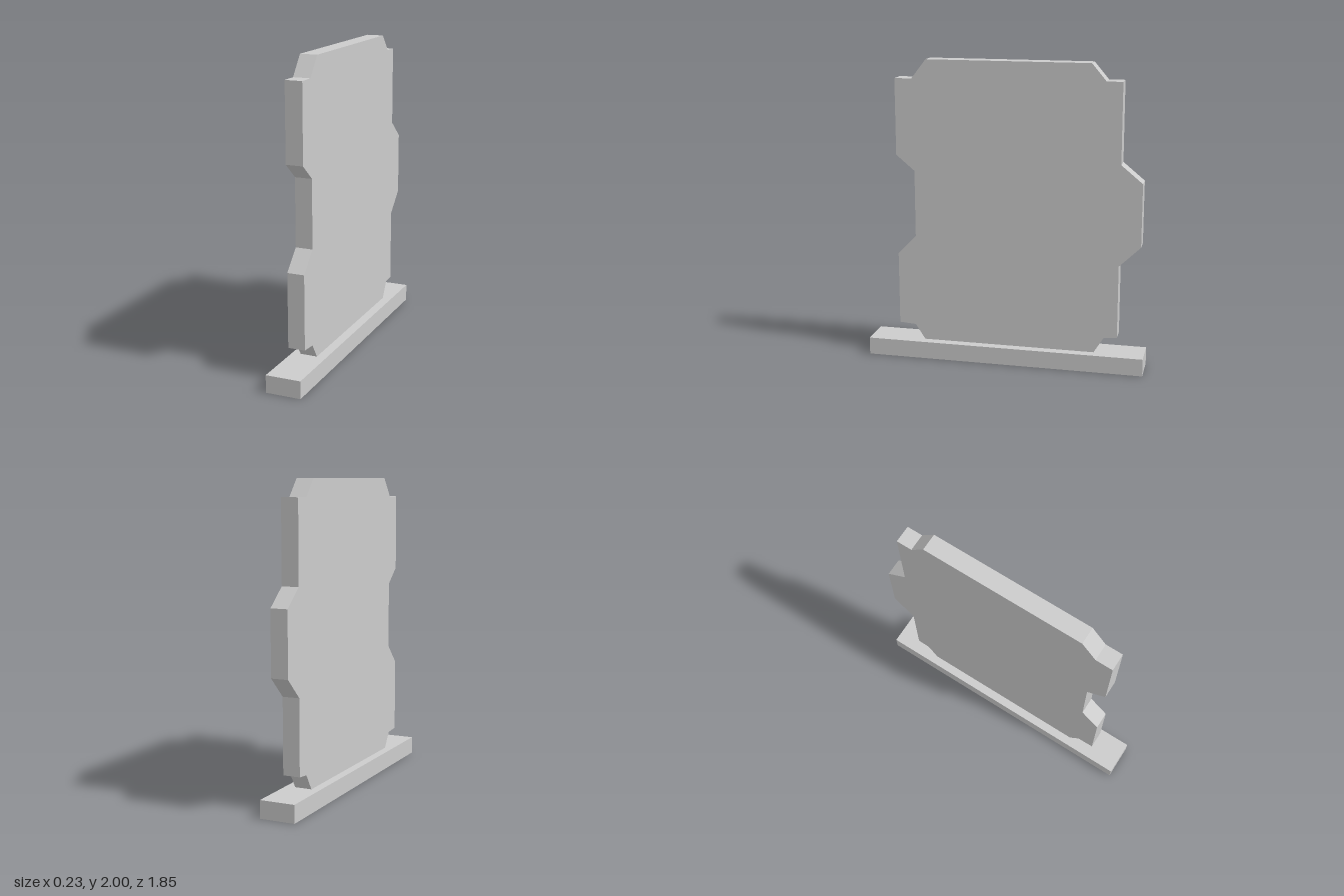
import * as THREE from 'three';

export function createModel() {
  const group = new THREE.Group();
  const material = new THREE.MeshStandardMaterial({ color: 0xcccccc, flatShading: true });

  // Flat foot bar
  const base = new THREE.Mesh(new THREE.BoxGeometry(0.23, 0.115, 1.85), material);
  base.name = 'base';
  base.position.y = 0.0575;
  group.add(base);

  // Upright panel: outline as [z, y], with a notch in front and a tab behind
  const outline = [
    [0.55, 0.115], [0.615, 0.215], [0.725, 0.223], [0.725, 0.707], [0.603, 0.833],
    [0.603, 1.273], [0.725, 1.375], [0.725, 1.875], [0.612, 1.875], [0.515, 2],
    [-0.552, 2], [-0.645, 1.89], [-0.748, 1.89], [-0.748, 1.37], [-0.887, 1.255],
    [-0.887, 0.843], [-0.748, 0.71], [-0.748, 0.228], [-0.662, 0.22], [-0.597, 0.115],
  ];
  const shape = new THREE.Shape(outline.map(([z, y]) => new THREE.Vector2(z, y)));
  const geometry = new THREE.ExtrudeGeometry(shape, { depth: 0.112, bevelEnabled: false });
  geometry.rotateY(-Math.PI / 2); // outline runs along z, thickness along -x
  geometry.translate(0.053, 0, 0);
  const panel = new THREE.Mesh(geometry, material);
  panel.name = 'panel';
  group.add(panel);

  return group;
}
